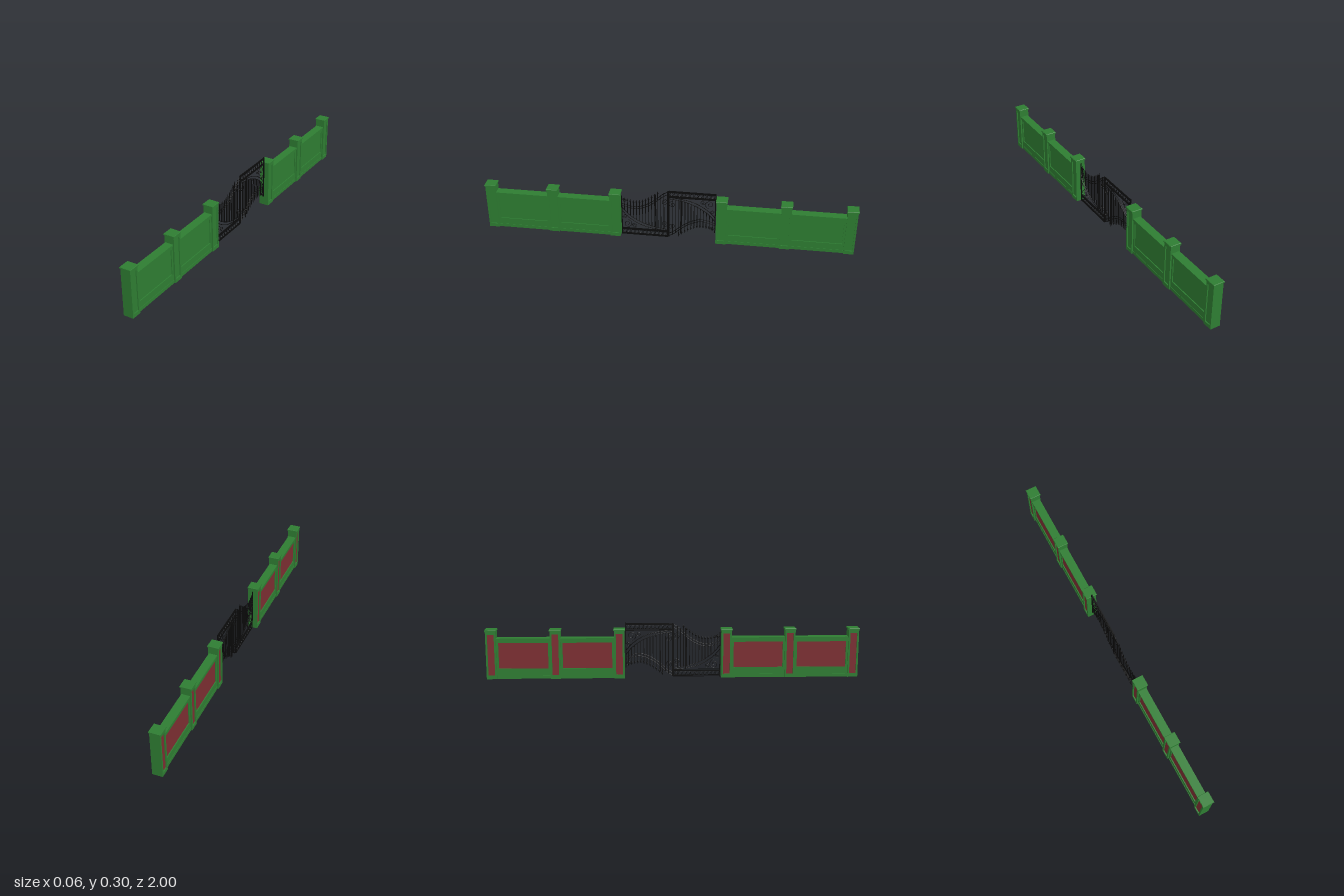
import * as THREE from 'three';

const green = new THREE.MeshStandardMaterial({ color: 0x2e7d32 });
const red = new THREE.MeshStandardMaterial({ color: 0x7d2e32 });
const black = new THREE.MeshStandardMaterial({ color: 0x0a0a0a });

function add(parent, name, geometry, material, x = 0, y = 0, z = 0) {
  const mesh = new THREE.Mesh(geometry, material);
  mesh.name = name;
  mesh.position.set(x, y, z);
  parent.add(mesh);
  return mesh;
}

const box = (parent, name, material, sx, sy, sz, x, y, z) =>
  add(parent, name, new THREE.BoxGeometry(sx, sy, sz), material, x, y, z);

function rectangle(path, w, y0, y1) {
  path.moveTo(-w / 2, y0);
  path.lineTo(w / 2, y0);
  path.lineTo(w / 2, y1);
  path.lineTo(-w / 2, y1);
  path.closePath();
  return path;
}

// Upright slab along z with a sunken panel on both broad faces
function panelledSlab(parent, name, width, height, thick, inner, y0, y1, recess) {
  const shape = rectangle(new THREE.Shape(), width, 0, height);
  shape.holes.push(rectangle(new THREE.Path(), inner, y0, y1));
  const geo = new THREE.ExtrudeGeometry(shape, { depth: thick, bevelEnabled: false });
  geo.translate(0, 0, -thick / 2).rotateY(Math.PI / 2);
  add(parent, name + 'Frame', geo, green);
  const t = thick / 2 - recess, h = y1 - y0, mid = (y0 + y1) / 2;
  box(parent, name + 'FrontPanel', green, t, h, inner, t / 2, mid, 0);
  box(parent, name + 'BackPanel', red, t, h, inner, -t / 2, mid, 0);
}

function pillar(z) {
  const g = new THREE.Group();
  g.name = 'pillar';
  panelledSlab(g, 'pillar', 0.055, 0.26, 0.055, 0.036, 0.02, 0.242, 0.006);
  box(g, 'capSlab', green, 0.062, 0.006, 0.062, 0, 0.2625, 0);
  const top = new THREE.CylinderGeometry(0.029 * Math.SQRT2, 0.031 * Math.SQRT2, 0.0025, 4);
  add(g, 'capTop', top.rotateY(Math.PI / 4).toNonIndexed(), green, 0, 0.2662, 0)
    .geometry.computeVertexNormals();
  g.position.z = z;
  return g;
}

function wall(z) {
  const g = new THREE.Group();
  g.name = 'wall';
  panelledSlab(g, 'wall', 0.288, 0.21, 0.038, 0.264, 0.055, 0.195, 0.005);
  box(g, 'coping', green, 0.046, 0.01, 0.288, 0, 0.215, 0);
  box(g, 'plinth', green, 0.042, 0.018, 0.288, 0, 0.009, 0);
  g.position.z = z;
  return g;
}

// Curve through [z, y] points in the plane of the gate
const curve = pts => new THREE.CatmullRomCurve3(pts.map(([z, y]) => new THREE.Vector3(0, y, z)));
const rod = (parent, name, path, r = 0.0016, n = 36) =>
  add(parent, name, new THREE.TubeGeometry(path, n, r, 5), black);

// Height of a curve at a given z, for curves that run steadily along z
function heightAt(path, z) {
  let best = path.getPoint(0);
  for (const p of path.getPoints(200)) if (Math.abs(p.z - z) < Math.abs(best.z - z)) best = p;
  return best.y;
}

// Spiral scroll around a centre
function scroll(parent, z, y, radius, start, turn) {
  const pts = [];
  for (let i = 0; i <= 18; i++) {
    const a = start + turn * i / 18 * Math.PI * 3, r = radius * (1 - 0.8 * i / 18);
    pts.push([z + r * Math.cos(a), y + r * Math.sin(a)]);
  }
  rod(parent, 'scroll', curve(pts), 0.0014, 40);
}

function gateLeaf() {
  const g = new THREE.Group();
  g.name = 'gateLeaf';

  // Stiles and bottom rail
  box(g, 'hingeStile', black, 0.006, 0.245, 0.005, 0, 0.1225, 0.253);
  box(g, 'meetingStile', black, 0.006, 0.29, 0.005, 0, 0.148, 0.003);
  for (const y of [0.004, 0.01, 0.034, 0.041])
    box(g, 'bottomRailBar', black, 0.006, 0.0035, 0.25, 0, y, 0.128);
  for (let i = 0; i < 11; i++) {
    const ring = new THREE.TorusGeometry(0.009, 0.0014, 5, 16).rotateY(Math.PI / 2);
    add(g, 'railRing', ring, black, 0, 0.022, 0.018 + i * 0.022);
  }

  // Sweeping bands
  const upper = curve([[0.253, 0.2], [0.21, 0.185], [0.17, 0.182], [0.12, 0.2], [0.07, 0.235], [0.03, 0.272], [0.003, 0.288]]);
  const upper2 = curve([[0.253, 0.187], [0.21, 0.172], [0.17, 0.169], [0.12, 0.186], [0.07, 0.22], [0.03, 0.256], [0.003, 0.272]]);
  const lower = curve([[0.253, 0.175], [0.22, 0.135], [0.17, 0.098], [0.12, 0.074], [0.07, 0.06], [0.003, 0.05]]);
  const lower2 = curve([[0.253, 0.152], [0.22, 0.115], [0.17, 0.08], [0.12, 0.059], [0.07, 0.049], [0.02, 0.043]]);
  for (const band of [upper, upper2, lower, lower2]) rod(g, 'sweepingBand', band, 0.002);

  // Pickets with spear tips
  for (let i = 0; i < 14; i++) {
    const z = 0.024 + i * 0.0165;
    const y0 = heightAt(lower, z), y1 = heightAt(upper, z) + (z < 0.05 ? 0.003 : 0.025);
    box(g, 'picket', black, 0.004, y1 - y0, 0.004, 0, (y0 + y1) / 2, z);
    if (z < 0.05) continue;
    const tip = new THREE.LatheGeometry(
      [[0, -0.004], [0.005, 0.002], [0.003, 0.008], [0, 0.018]].map(p => new THREE.Vector2(...p)), 6);
    tip.scale(0.6, 1, 1);
    add(g, 'spearTip', tip, black, 0, y1, z);
  }
  // Heavier post near the meeting side
  box(g, 'heavyPicket', black, 0.005, 0.225, 0.005, 0, 0.155, 0.068);

  // Scrollwork beside the stiles and under the lower band
  scroll(g, 0.022, 0.225, 0.019, Math.PI / 2, 1);
  scroll(g, 0.022, 0.085, 0.019, -Math.PI / 2, -1);
  scroll(g, 0.222, 0.07, 0.026, Math.PI / 2, 1);
  scroll(g, 0.185, 0.06, 0.014, 0, 1);
  scroll(g, 0.237, 0.117, 0.012, 0, -1);
  scroll(g, 0.238, 0.218, 0.012, 0, 1);
  return g;
}

export function createModel() {
  const model = new THREE.Group();
  model.name = 'walledGate';
  for (const s of [1, -1]) {
    for (const z of [0.969, 0.628, 0.287]) model.add(pillar(s * z));
    for (const z of [0.7985, 0.4575]) model.add(wall(s * z));
  }
  // Second leaf is the first one turned half round about its centre
  const leaf = gateLeaf();
  leaf.name = 'leftLeaf';
  const turned = gateLeaf();
  turned.name = 'rightLeaf';
  turned.rotation.x = Math.PI;
  turned.position.y = 0.298;
  model.add(leaf, turned);
  return model;
}
